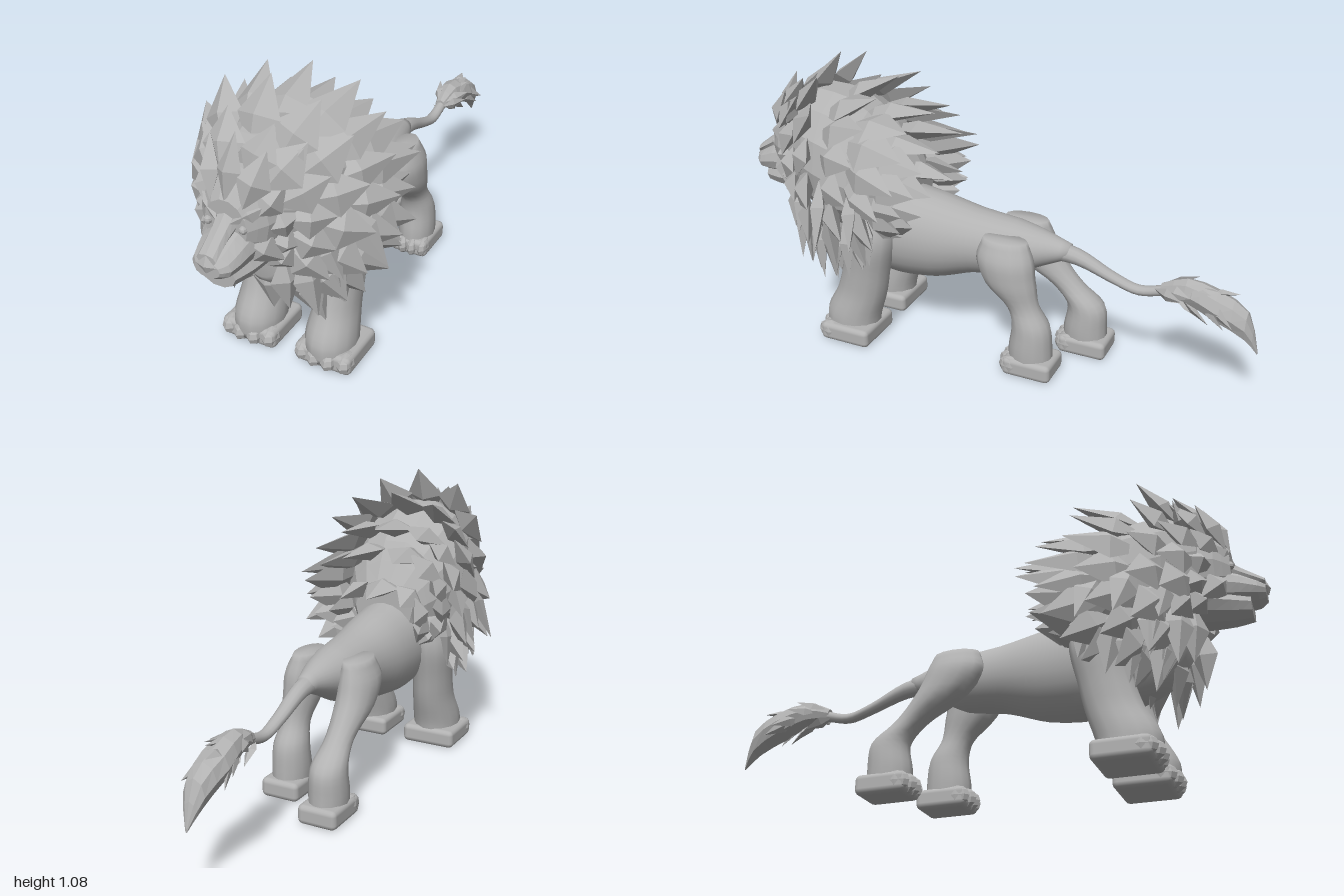
import * as THREE from 'three';
import { mergeGeometries } from 'three/addons/utils/BufferGeometryUtils.js';
import { RoundedBoxGeometry } from 'three/addons/geometries/RoundedBoxGeometry.js';

const stone = new THREE.MeshStandardMaterial({ color: 0xb2b2b2 });
stone.name = 'stone grey';

const V = (x, y, z) => new THREE.Vector3(x, y, z);

let seed = 7;
function rand() {
  seed = (seed * 16807) % 2147483647;
  return seed / 2147483647;
}

function mesh(geometry, name) {
  const m = new THREE.Mesh(geometry, stone);
  m.name = name;
  return m;
}

// Smooth skin over elliptical sections [x, y, z, r1, r2], listed in rising order along the axis ('z' or 'y')
function loft(sections, axis = 'z', sides = 20, steps = 4) {
  const centres = new THREE.CatmullRomCurve3(sections.map(s => V(s[0], s[1], s[2])));
  const radii = new THREE.CatmullRomCurve3(sections.map(s => V(s[3], s[4], 0)));
  const rings = (sections.length - 1) * steps;
  const pos = [], index = [];
  for (let i = 0; i <= rings; i++) {
    const c = centres.getPoint(i / rings), r = radii.getPoint(i / rings);
    for (let j = 0; j < sides; j++) {
      const a = j / sides * Math.PI * 2;
      const u = r.x * Math.cos(a), v = r.y * Math.sin(a);
      pos.push(c.x + u, axis === 'z' ? c.y + v : c.y, axis === 'z' ? c.z : c.z - v);
      if (i === rings) continue;
      const p = i * sides + j, q = i * sides + (j + 1) % sides;
      index.push(p, q, p + sides, q, q + sides, p + sides);
    }
  }
  const last = rings * sides, cap = (rings + 1) * sides;
  pos.push(...centres.getPoint(0).toArray(), ...centres.getPoint(1).toArray());
  for (let j = 0; j < sides; j++) {
    const k = (j + 1) % sides;
    index.push(cap, k, j, cap + 1, last + j, last + k);
  }
  const g = new THREE.BufferGeometry();
  g.setAttribute('position', new THREE.Float32BufferAttribute(pos, 3));
  g.setIndex(index);
  g.computeVertexNormals();
  return g;
}

function faceted(g) {
  const flat = g.toNonIndexed();
  flat.computeVertexNormals();
  return flat;
}

// Leaf-shaped faceted lock of hair from base to tip, its flat side turned to "out"
function lock(base, tip, out, width, thick) {
  const g = new THREE.OctahedronGeometry(1);
  const p = g.attributes.position;
  for (let i = 0; i < p.count; i++) {
    const y = p.getY(i);
    p.setY(i, y < -0.5 ? 0 : y > 0.5 ? 1 : 0.45);
  }
  const dir = tip.clone().sub(base);
  const side = dir.clone().cross(out).normalize();
  const up = side.clone().cross(dir).normalize();
  const m = new THREE.Matrix4().makeBasis(side.multiplyScalar(width), dir, up.multiplyScalar(thick));
  if (m.determinant() < 0) m.scale(V(-1, 1, 1));
  g.applyMatrix4(m.setPosition(base));
  g.computeVertexNormals();
  return g;
}

// Point on a tilted, square-shouldered oval [zTop, yTop, zBottom, yBottom, halfWidth]; droop lowers and sweeps back its sides
function oval([zt, yt, zb, yb, rx], a, droop) {
  const k = (Math.sin(a) + 1) / 2, c = Math.cos(a);
  const sag = droop * c * c;
  return V(rx * Math.sign(c) * Math.abs(c) ** 0.7, yb + (yt - yb) * k - sag, zb + (zt - zb) * k - sag);
}

function buildMane() {
  const mane = new THREE.Group();
  mane.name = 'mane';
  // Rows from face to back: base oval, tip oval, number of locks, lock width
  const rows = [
    [[0.88, 0.78, 0.80, 0.58, 0.10], [0.80, 0.98, 0.76, 0.44, 0.18], 14, 0.05],
    [[0.83, 0.84, 0.74, 0.54, 0.14], [0.71, 1.01, 0.74, 0.36, 0.27], 16, 0.07],
    [[0.74, 0.88, 0.68, 0.47, 0.18], [0.60, 1.08, 0.65, 0.23, 0.34], 16, 0.075],
    [[0.64, 0.88, 0.60, 0.42, 0.20], [0.36, 1.02, 0.56, 0.24, 0.36], 18, 0.08],
    [[0.54, 0.86, 0.51, 0.42, 0.20], [0.22, 0.90, 0.45, 0.30, 0.35], 18, 0.08],
    [[0.48, 0.79, 0.44, 0.44, 0.18], [0.16, 0.80, 0.28, 0.46, 0.29], 14, 0.075],
    [[0.40, 0.68, 0.40, 0.46, 0.14], [0.15, 0.65, 0.29, 0.48, 0.19], 10, 0.065]
  ];
  rows.forEach(([base, tip, count, width], r) => {
    const parts = [];
    for (let i = 0; i < count; i++) {
      const a = Math.PI / 2 + (i + (r % 2 && r !== 3 ? 0.5 : 0)) / count * Math.PI * 2;
      // The chest stays bare below the chin
      if (r < 2 && Math.sin(a) < -0.7) continue;
      const b = oval(base, a, 0.02), t = oval(tip, a, r < 5 ? 0.06 : 0.02);
      const out = V(Math.cos(a), Math.sin(a), 0.25);
      const len = i === 0 ? 1 : 0.9 + 0.14 * rand();
      parts.push(lock(b, b.clone().lerp(t, len), out, width * (0.85 + 0.3 * rand()), 0.035));
    }
    mane.add(mesh(mergeGeometries(parts), 'maneRow' + (r + 1)));
  });
  // Long hair hanging beside the chest and over the shoulders: base, tip
  const hanging = [
    [[0.11, 0.56, 0.75], [0.12, 0.34, 0.74]], [[0.15, 0.58, 0.71], [0.20, 0.31, 0.70]],
    [[0.13, 0.50, 0.67], [0.18, 0.23, 0.62]], [[0.19, 0.55, 0.64], [0.25, 0.33, 0.62]],
    [[0.19, 0.52, 0.56], [0.21, 0.26, 0.54]], [[0.20, 0.54, 0.50], [0.24, 0.29, 0.47]],
    [[0.20, 0.56, 0.42], [0.24, 0.36, 0.38]], [[0.22, 0.68, 0.58], [0.36, 0.45, 0.53]],
    [[0.22, 0.66, 0.46], [0.34, 0.46, 0.40]], [[0.18, 0.64, 0.68], [0.27, 0.45, 0.66]]
  ];
  const parts = [];
  for (const s of [1, -1]) {
    for (const [b, t] of hanging) {
      parts.push(lock(V(s * b[0], b[1], b[2]), V(s * t[0], t[1], t[2]), V(s, 0, 0.6), 0.055, 0.03));
    }
  }
  mane.add(mesh(mergeGeometries(parts), 'hangingLocks'));
  // Mass of hair under the locks
  mane.add(mesh(faceted(loft([
    [0, 0.58, 0.30, 0.12, 0.11], [0, 0.63, 0.40, 0.20, 0.20], [0, 0.67, 0.54, 0.245, 0.265],
    [0, 0.70, 0.67, 0.215, 0.25], [0, 0.74, 0.78, 0.14, 0.18]
  ], 'z', 14, 2)), 'maneCore'));
  return mane;
}

function buildHead() {
  const head = new THREE.Group();
  head.name = 'head';
  head.add(mesh(faceted(loft([
    [0, 0.70, 0.62, 0.14, 0.16], [0, 0.71, 0.76, 0.14, 0.16],
    [0, 0.71, 0.83, 0.12, 0.14], [0, 0.70, 0.88, 0.075, 0.09]
  ], 'z', 14, 2)), 'skull'));
  head.add(mesh(faceted(loft([
    [0, 0.64, 0.82, 0.095, 0.08], [0, 0.625, 0.90, 0.085, 0.062],
    [0, 0.61, 0.96, 0.07, 0.042], [0, 0.61, 0.985, 0.045, 0.028]
  ], 'z', 12, 2)), 'muzzle'));
  head.add(mesh(faceted(loft([
    [0, 0.58, 0.76, 0.11, 0.06], [0, 0.565, 0.87, 0.085, 0.052], [0, 0.56, 0.935, 0.062, 0.043]
  ], 'z', 10, 2)), 'jaw'));
  head.add(mesh(faceted(loft([
    [0, 0.73, 0.84, 0.045, 0.05], [0, 0.69, 0.91, 0.034, 0.03], [0, 0.645, 0.985, 0.034, 0.018]
  ], 'z', 8, 2)), 'noseBridge'));
  head.add(mesh(lock(V(0, 0.60, 0.99), V(0, 0.66, 0.985), V(0, 0, 1), 0.035, 0.012), 'nose'));
  for (const s of [1, -1]) {
    head.add(mesh(lock(V(s * 0.02, 0.72, 0.895), V(s * 0.13, 0.78, 0.81), V(0, 0.3, 1), 0.028, 0.025), 'brow'));
    head.add(mesh(lock(V(s * 0.05, 0.67, 0.88), V(s * 0.14, 0.56, 0.78), V(s, 0, 1), 0.055, 0.03), 'cheek'));
    const eye = mesh(faceted(new THREE.SphereGeometry(0.014, 8, 6)), 'eye');
    eye.position.set(s * 0.062, 0.705, 0.88);
    head.add(eye);
    head.add(mesh(lock(V(s * 0.11, 0.82, 0.75), V(s * 0.18, 0.93, 0.72), V(0, 0, 1), 0.05, 0.025), 'ear'));
  }
  return head;
}

// Broad paw with four toes
function buildPaw(x, z, width, length) {
  const paw = new THREE.Group();
  paw.name = 'paw';
  const pad = mesh(new RoundedBoxGeometry(width, 0.072, length * 0.85, 2, 0.02), 'pad');
  pad.position.set(0, 0.036, -length * 0.075);
  paw.add(pad);
  for (let i = 0; i < 4; i++) {
    const k = (i - 1.5) / 4, front = length / 2 - Math.abs(k) * 0.05;
    const toe = mesh(faceted(new THREE.SphereGeometry(1, 8, 6)), 'toe');
    toe.scale.set(width * 0.145, 0.038, length * 0.22);
    toe.position.set(k * width, 0.038, front - length * 0.22);
    paw.add(toe);
  }
  paw.position.set(x, 0, z);
  return paw;
}

function buildFrontLeg(s) {
  const leg = new THREE.Group();
  leg.name = s > 0 ? 'leftFrontLeg' : 'rightFrontLeg';
  leg.add(mesh(loft([
    [0.145, 0.03, 0.52, 0.09, 0.105], [0.143, 0.10, 0.515, 0.09, 0.11], [0.143, 0.20, 0.475, 0.078, 0.10],
    [0.148, 0.30, 0.45, 0.075, 0.095], [0.15, 0.42, 0.43, 0.08, 0.10], [0.13, 0.55, 0.42, 0.06, 0.08]
  ].map(p => [p[0] * s, ...p.slice(1)]), 'y', 14), 'limb'));
  leg.add(buildPaw(s * 0.148, 0.525, 0.215, 0.24));
  return leg;
}

// Hind leg; "back" is how far the foot trails behind, the sixth number how much of it a section takes
function buildHindLeg(s, back) {
  const leg = new THREE.Group();
  leg.name = s > 0 ? 'leftHindLeg' : 'rightHindLeg';
  leg.add(mesh(loft([
    [0.113, 0.03, -0.21, 0.068, 0.085, 1], [0.113, 0.10, -0.21, 0.07, 0.082, 1], [0.113, 0.19, -0.21, 0.064, 0.072, 1],
    [0.112, 0.26, -0.18, 0.05, 0.062, 0.7], [0.113, 0.35, -0.125, 0.064, 0.10, 0.25],
    [0.11, 0.43, -0.105, 0.068, 0.11, 0], [0.10, 0.51, -0.10, 0.045, 0.085, 0]
  ].map(p => [p[0] * s, p[1], p[2] - back * p[5], p[3], p[4]]), 'y', 14), 'limb'));
  leg.add(buildPaw(s * 0.113, -0.2 - back, 0.15, 0.22));
  return leg;
}

function buildTail() {
  const tail = new THREE.Group();
  tail.name = 'tail';
  tail.add(mesh(loft([
    [0, 0.41, -0.74, 0.02, 0.02], [0, 0.385, -0.66, 0.02, 0.02], [0, 0.365, -0.57, 0.022, 0.018],
    [0, 0.39, -0.48, 0.025, 0.02], [0, 0.445, -0.34, 0.032, 0.03], [0, 0.455, -0.22, 0.04, 0.035]
  ], 'z', 12), 'tailStem'));
  tail.add(mesh(faceted(loft([
    [0, 0.22, -1.0, 0.004, 0.008], [0, 0.315, -0.955, 0.04, 0.055], [0, 0.37, -0.85, 0.058, 0.056],
    [0, 0.405, -0.74, 0.042, 0.045], [0, 0.39, -0.65, 0.022, 0.022]
  ], 'z', 8, 2)), 'tuft'));
  const parts = [];
  for (let i = 0; i < 14; i++) {
    const a = i * 2.4, z = -0.63 - (i % 7) * 0.03, c = Math.cos(a), d = Math.sin(a);
    parts.push(lock(V(c * 0.02, 0.395 + d * 0.02, z), V(c * 0.075, 0.395 + d * 0.075 - (i % 7) * 0.008, z - 0.11),
      V(c, d, 0), 0.025, 0.012));
  }
  tail.add(mesh(mergeGeometries(parts), 'tuftLocks'));
  return tail;
}

export function createModel() {
  const lion = new THREE.Group();
  lion.name = 'lion';
  // Torso from rump to chest
  lion.add(mesh(loft([
    [0, 0.46, -0.31, 0.03, 0.028], [0, 0.45, -0.2, 0.07, 0.07], [0, 0.435, -0.1, 0.10, 0.105],
    [0, 0.43, 0.05, 0.115, 0.125], [0, 0.42, 0.2, 0.14, 0.165], [0, 0.425, 0.35, 0.15, 0.185],
    [0, 0.45, 0.5, 0.15, 0.19], [0, 0.48, 0.64, 0.12, 0.17], [0, 0.52, 0.72, 0.08, 0.11]
  ], 'z', 24), 'torso'));
  lion.add(buildMane(), buildHead(), buildTail());
  lion.add(buildFrontLeg(1), buildFrontLeg(-1), buildHindLeg(1, 0), buildHindLeg(-1, 0.13));
  return lion;
}
